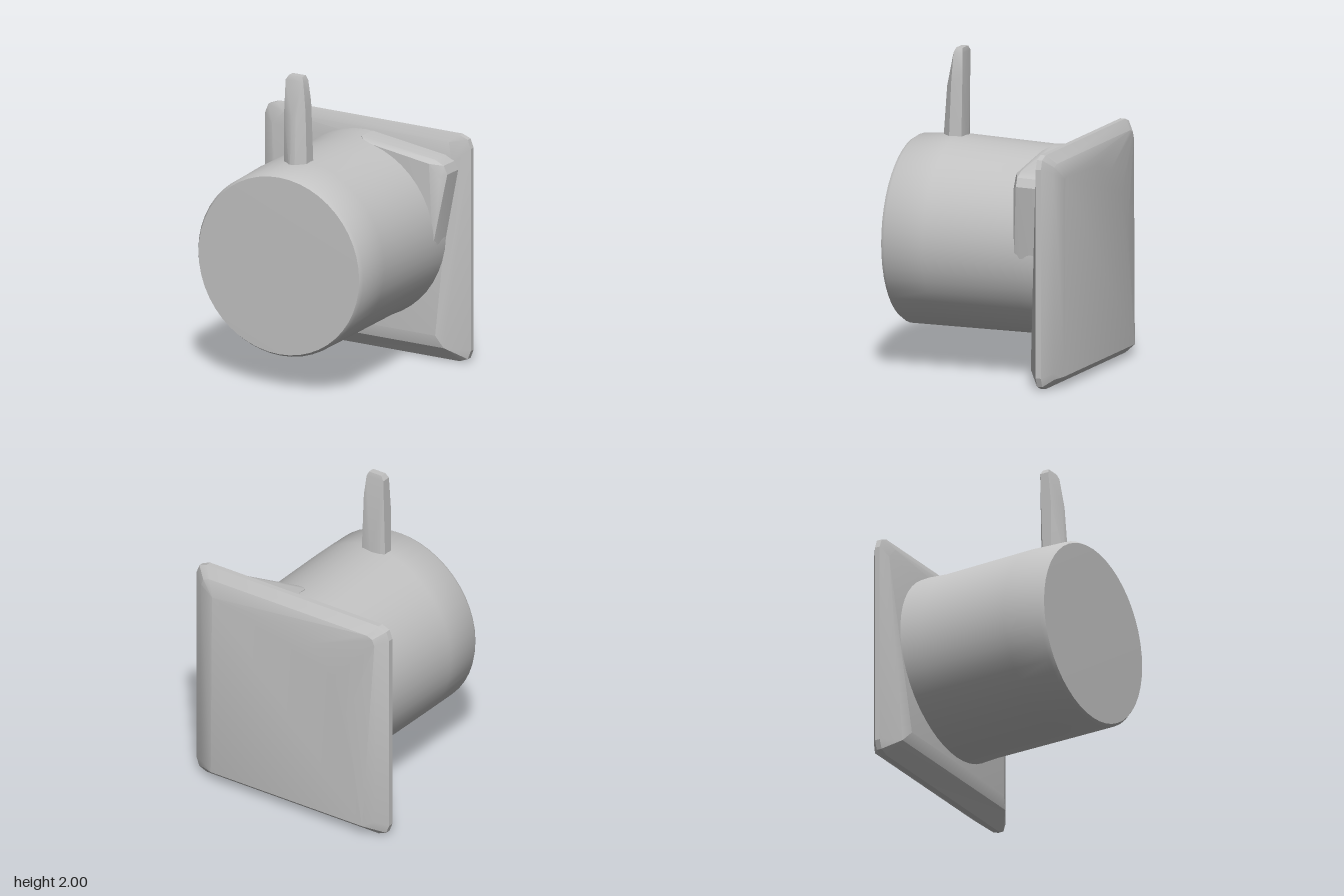
import * as THREE from 'three';
import { ConvexGeometry } from 'three/addons/geometries/ConvexGeometry.js';
import { toCreasedNormals } from 'three/addons/utils/BufferGeometryUtils.js';

const grey = new THREE.MeshStandardMaterial({ color: 0xc2c2c2 });
grey.name = 'plain grey';

function add(group, name, geometry, crease = 0.5) {
  const mesh = new THREE.Mesh(toCreasedNormals(geometry, crease), grey);
  mesh.name = name;
  group.add(mesh);
}

// convex solid through a few cross-section corners
const hull = (points) => new ConvexGeometry(points.map((p) => new THREE.Vector3(...p)));

// corners of a square with chamfered corners, at depth z
function softSquare(half, y0, y1, cut, z) {
  const pts = [];
  for (const sx of [-1, 1]) {
    for (const [edge, dir] of [[y0, 1], [y1, -1]]) {
      for (const [a, b] of [[0, 1], [0.28, 0.28], [1, 0]]) {
        pts.push([sx * (half - cut * a), edge + dir * cut * b, z]);
      }
    }
  }
  return pts;
}

export function createModel() {
  const model = new THREE.Group();
  model.name = 'drumOnPlate';

  // back plate: thin rim, sloping front, flat back with one large rounded corner
  const front = [
    [-0.62, 0.1, -0.405], [0.6, 0.1, -0.405], [-0.54, 0.18, -0.385], [0.55, 0.18, -0.385],
    [0.63, 1.31, -0.455], [-0.68, 1.36, -0.465], [0.6, 1.44, -0.47], [-0.6, 1.44, -0.47],
  ];
  const back = [
    [0.57, 0.07], [0.56, 1.33], [0.05, 1.32], [-0.2, 1.25],
    [-0.38, 1.08], [-0.48, 0.82], [-0.6, 0.07],
  ].map(([x, y]) => [x, y, -0.62]);
  add(model, 'backPlate', hull([
    ...softSquare(0.745, 0, 1.49, 0.08, -0.495),
    ...softSquare(0.745, 0, 1.49, 0.08, -0.53),
    ...softSquare(0.67, 0.045, 1.43, 0.06, -0.585),
    ...front, ...back,
  ]), 0.35);

  // drum along z, slightly raised on top below the rod and flared at the plate
  const profile = [
    [0.6, -0.5], [0.605, -0.4], [0.597, -0.28], [0.6, 0.33], [0.598, 0.59], [0.582, 0.615], [0, 0.62],
  ].map(([r, z]) => new THREE.Vector2(r, z));
  const drum = new THREE.LatheGeometry(profile, 48);
  drum.rotateX(Math.PI / 2);
  const pos = drum.attributes.position;
  for (let i = 0; i < pos.count; i++) {
    const y = pos.getY(i), z = pos.getZ(i);
    const lift = Math.abs(z - 0.33) < 0.01 ? 0.018 * Math.pow(Math.max(0, y / 0.6), 8) : 0;
    pos.setY(i, y + 0.825 + lift + (z > 0 ? 0.007 : 0));
  }
  add(model, 'drum', drum, 0.6);

  // corner bulge beside the drum
  const bulge = [[0.05, 1.425], [0.58, 1.355], [0.645, 1.325], [0.67, 1.27], [0.6, 0.8], [0.05, 0.8]];
  add(model, 'cornerBulge', hull([
    ...bulge.map(([x, y]) => [x, y, -0.5]),
    ...bulge.map(([x, y]) => [x, y + 0.005, -0.33]),
    [0.1, 1.41, -0.285], [0.56, 1.34, -0.29], [0.635, 1.25, -0.3], [0.59, 0.8, -0.285], [0.1, 0.8, -0.285],
  ]));

  // tapering upright rod
  const base = [[-0.105, 0.31], [-0.08, 0.285], [-0.02, 0.268], [0.06, 0.285], [0.06, 0.37],
    [0.005, 0.43], [-0.03, 0.43], [-0.105, 0.37]];
  add(model, 'rod', hull([
    ...base.map(([x, z]) => [x, 1.38, z]),
    [-0.105, 1.75, 0.37], [-0.03, 1.75, 0.405], [0, 1.75, 0.405], [0.045, 1.78, 0.36], [0.042, 1.83, 0.285],
    [-0.105, 1.97, 0.29], [-0.105, 1.97, 0.35], [0.024, 1.97, 0.29], [0.024, 1.97, 0.352],
    [-0.085, 2, 0.297], [-0.085, 2, 0.34], [0.01, 2, 0.297], [0.01, 2, 0.34],
  ]));

  return model;
}
